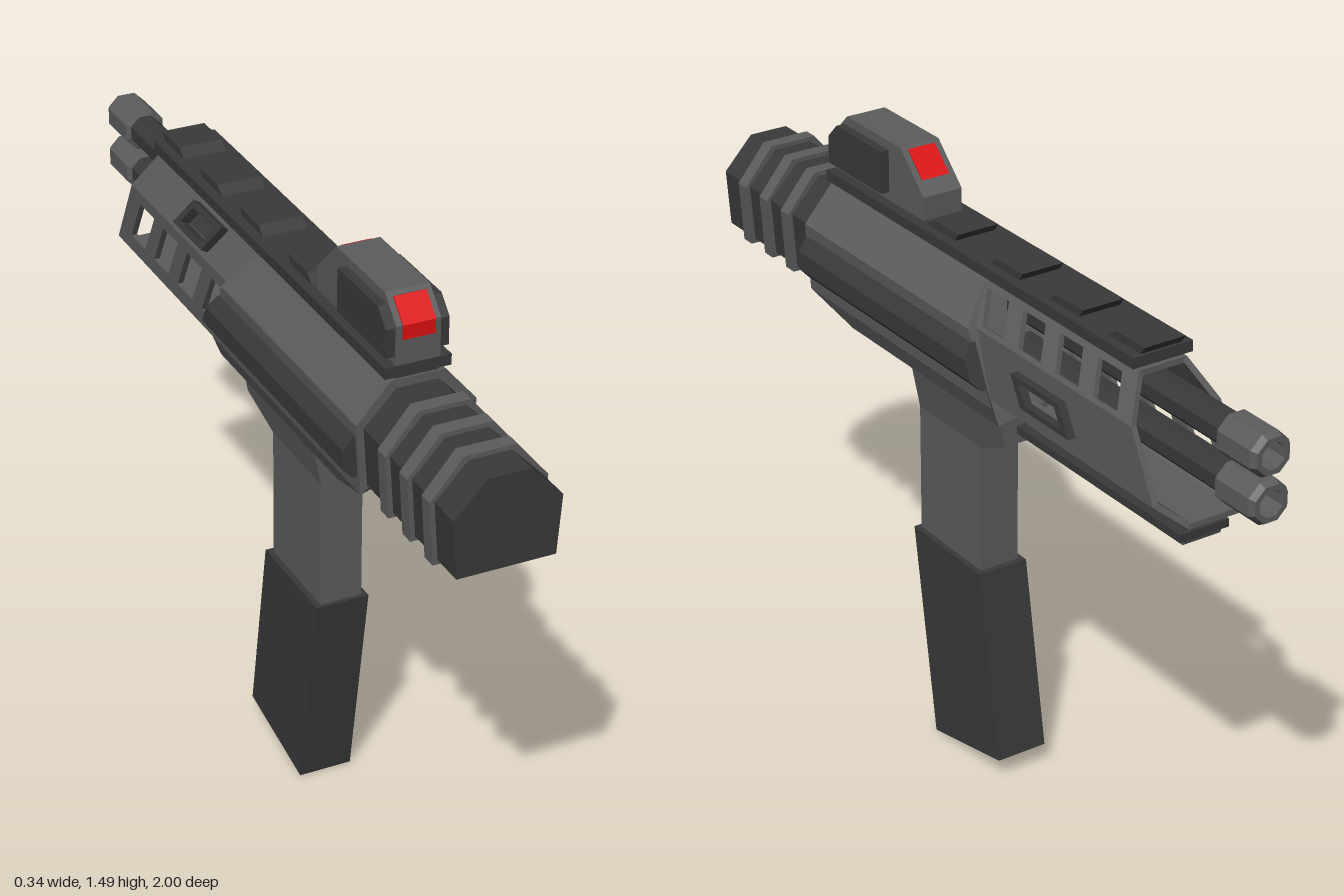
import * as THREE from 'three';

const mat = (color) => new THREE.MeshStandardMaterial({ color, flatShading: true, side: THREE.DoubleSide });
const grey = mat(0x5c5c5c), dark = mat(0x393939), red = mat(0xdd1111);

const V = (x, y, z) => new THREE.Vector3(x, y, z);
const polygon = (pts) => new THREE.Shape(pts.map(([x, y]) => new THREE.Vector2(x, y)));
const mirrored = (half) => [...half, ...half.map(([x, y]) => [-x, y]).reverse()];
const extrude = (shape, depth) => new THREE.ExtrudeGeometry(shape, { depth, bevelEnabled: false });

// Slanted ends of the handguard, as z for a given height
const rearZ = (y) => -0.055 - (1.305 - Math.max(y, 1.05)) * 0.47;
const muzzleZ = (y) => -0.62 - (1.315 - y) * 0.53;

// Prism along z from an x,y section; each end may be a number or a rule of y
function prism(section, z0, z1) {
  const g = extrude(polygon(section), 1), p = g.attributes.position;
  const at = (e, y) => (typeof e === 'function' ? e(y) : e);
  for (let i = 0; i < p.count; i++) {
    p.setZ(i, p.getZ(i) < 0.5 ? at(z0, p.getY(i)) : at(z1, p.getY(i)));
  }
  g.computeVertexNormals();
  return g;
}

// Side profile given as z,y points, spread from -halfWidth to halfWidth in x
function sideProfile(pts, halfWidth) {
  const g = extrude(polygon(pts), halfWidth * 2);
  g.applyMatrix4(new THREE.Matrix4().makeBasis(V(0, 0, 1), V(0, 1, 0), V(-1, 0, 0)));
  return g.translate(halfWidth, 0, 0);
}

// Flat plate lying on the section edge a-b, with outline and holes as z,y points
function facet(a, b, outline, holes, start, depth) {
  const dir = V(b[0] - a[0], b[1] - a[1], 0), length = dir.length();
  dir.normalize();
  const flat = b[1] === a[1];
  const toPlane = ([z, y, t]) => [z, (flat ? t : (y - a[1]) / (b[1] - a[1])) * length];
  const shape = polygon(outline.map(toPlane));
  shape.holes = holes.map((h) => polygon(h.map(toPlane)));
  const g = extrude(shape, depth).translate(0, 0, start);
  const inward = V(0, 0, 1).cross(dir);
  g.applyMatrix4(new THREE.Matrix4().makeBasis(V(0, 0, 1), dir, inward));
  return g.translate(a[0], a[1], 0);
}

// Slanted window as z,y corners
const slant = (z, width, y0, y1) => {
  const shift = (y1 - y0) * 0.55;
  return [[z, y1], [z - width, y1], [z - width - shift, y0], [z - shift, y0]];
};

export function createModel() {
  const model = new THREE.Group();
  const add = (name, geometry, material, parent = model) => {
    const mesh = new THREE.Mesh(geometry, material);
    mesh.name = name;
    parent.add(mesh);
    return mesh;
  };
  const group = (name) => {
    const g = new THREE.Group();
    g.name = name;
    model.add(g);
    return g;
  };
  const box = (name, w, y0, y1, z0, z1, material, parent) =>
    add(name, new THREE.BoxGeometry(w, y1 - y0, z1 - z0).translate(0, (y0 + y1) / 2, (z0 + z1) / 2), material, parent);

  // Receiver, cut back under its +z end
  const body = mirrored([[0.11, 0.995], [0.13, 1.045], [0.142, 1.215], [0.063, 1.305]]);
  add('receiver', prism(body, rearZ, (y) => (y < 1.02 ? 0.44 : 0.595)), grey);
  for (const s of [1, -1]) {
    const strip = [[0.13, 1.185], [0.145, 1.185], [0.168, 1.155], [0.168, 1.11], [0.145, 1.085], [0.13, 1.085]];
    add('sideStrip', prism(strip.map(([x, y]) => [x * s, y]), rearZ, 0.585), dark);
  }

  // Ringed end section
  const tail = (grow) => mirrored([
    [0.115 + grow, 1.065 - grow], [0.125 + grow, 1.205], [0.05 + grow, 1.285 + grow],
  ]);
  add('tailSection', prism(tail(0), 0.55, 1), dark);
  for (const z of [0.7, 0.8, 0.9]) add('tailRing', prism(tail(0.011), z - 0.018, z + 0.018), grey);

  // Open handguard made of plates, with a row of slots and a framed window on each side
  const guard = group('handguard');
  const section = [[0.045, 0.995], [0.118, 1.055], [0.118, 1.21], [0.063, 1.305],
    [-0.063, 1.305], [-0.118, 1.21], [-0.118, 1.03], [-0.085, 0.995]];
  const slots = (z, y0, y1) => [0, 1, 2, 3].map((i) => slant(z - i * 0.14, 0.085, y0, y1));
  const windows = {
    1: { frame: slant(-0.26, 0.18, 1.1, 1.17), hole: slant(-0.29, 0.135, 1.113, 1.157) },
    4: { frame: slant(-0.21, 0.16, 1.225, 1.29), hole: slant(-0.238, 0.118, 1.238, 1.277) },
  };
  const slotRows = { 2: slots(-0.075, 1.22, 1.288), 5: slots(-0.12, 1.07, 1.18) };
  section.forEach((a, i) => {
    const b = section[(i + 1) % section.length];
    const outline = [[rearZ(a[1]) + 0.03, a[1], 0], [rearZ(b[1]) + 0.03, b[1], 1],
      [muzzleZ(b[1]), b[1], 1], [muzzleZ(a[1]), a[1], 0]];
    const win = windows[i];
    const holes = win ? [win.hole] : slotRows[i] || [];
    add('guardPlate', facet(a, b, outline, holes, 0, 0.014), grey, guard);
    if (win) add('windowFrame', facet(a, b, win.frame, [win.hole], -0.02, 0.025), dark, guard);
  });

  // Twin barrels with hollow tips
  for (const y of [1.248, 1.138]) {
    const barrel = group('barrel');
    barrel.position.y = y;
    const tube = new THREE.CylinderGeometry(0.04, 0.04, 0.8, 8).rotateY(Math.PI / 8);
    add('barrelTube', tube.rotateX(Math.PI / 2).translate(0, 0, -0.5), dark, barrel);
    const profile = [[0, 0.9], [0.032, 0.9], [0.032, 1], [0.045, 1], [0.053, 0.985], [0.053, 0.875], [0.04, 0.87]];
    const tip = new THREE.LatheGeometry(profile.map(([r, l]) => new THREE.Vector2(r, l)), 8);
    add('barrelTip', tip.rotateY(Math.PI / 8).rotateX(-Math.PI / 2), grey, barrel);
  }

  // Top rail and its raised blocks
  const topRail = group('topRail');
  box('railStrip', 0.156, 1.312, 1.338, -0.625, 0.597, dark, topRail);
  box('railNeck', 0.1, 1.29, 1.32, -0.61, 0.59, dark, topRail);
  for (const z of [0.2, -0.055, -0.28, -0.5]) {
    const block = [[z, 1.335], [z - 0.03, 1.357], [z - 0.13, 1.357], [z - 0.115, 1.335]];
    add('railBlock', sideProfile(block, 0.054), dark, topRail);
  }

  // Lower rail and its blocks
  const lowRail = group('lowerRail');
  box('railStrip', 0.13, 0.967, 0.986, -0.785, -0.18, dark, lowRail);
  box('railNeck', 0.08, 0.98, 1, -0.775, -0.17, dark, lowRail);
  for (const z of [-0.2, -0.43, -0.66]) {
    const block = [[z, 0.969], [z - 0.025, 0.953], [z - 0.115, 0.953], [z - 0.12, 0.969]];
    add('railBlock', sideProfile(block, 0.05), grey, lowRail);
  }

  // Sight with dark cheeks and red lenses on both slopes
  const sight = group('sight');
  const hood = [[0.595, 1.335], [0.595, 1.43], [0.54, 1.485], [0.31, 1.485], [0.215, 1.395], [0.215, 1.335]];
  add('sightBody', sideProfile(hood, 0.052), grey, sight);
  const cheek = [[0.59, 1.358], [0.59, 1.425], [0.552, 1.463], [0.36, 1.463], [0.36, 1.358]];
  add('sightCheeks', sideProfile(cheek, 0.074), dark, sight);
  const frontLens = [[0.58, 1.398], [0.599, 1.398], [0.599, 1.432], [0.553, 1.478], [0.53, 1.47]];
  add('frontLens', sideProfile(frontLens, 0.038), red, sight);
  const rearLens = [[0.305, 1.47], [0.301, 1.481], [0.242, 1.425], [0.26, 1.42]];
  add('rearLens', sideProfile(rearLens, 0.036), red, sight);

  // Grip neck, flaring in width toward the receiver
  const neck = [[0.24, 0.52], [0.24, 0.855], [0.24, 1], [-0.13, 1], [-0.13, 0.91], [-0.015, 0.855], [-0.015, 0.52]];
  const neckGeometry = sideProfile(neck, 0.052), p = neckGeometry.attributes.position;
  for (let i = 0; i < p.count; i++) {
    const t = Math.max(0, (p.getY(i) - 0.855) / 0.145);
    p.setX(i, p.getX(i) * (1 + 0.55 * t));
  }
  neckGeometry.computeVertexNormals();
  add('gripNeck', neckGeometry, grey);

  // Slanted lower grip
  add('lowerGrip', sideProfile([[0.25, 0.532], [-0.03, 0.53], [-0.112, 0.057], [0.162, 0]], 0.066), dark);

  return model;
}
